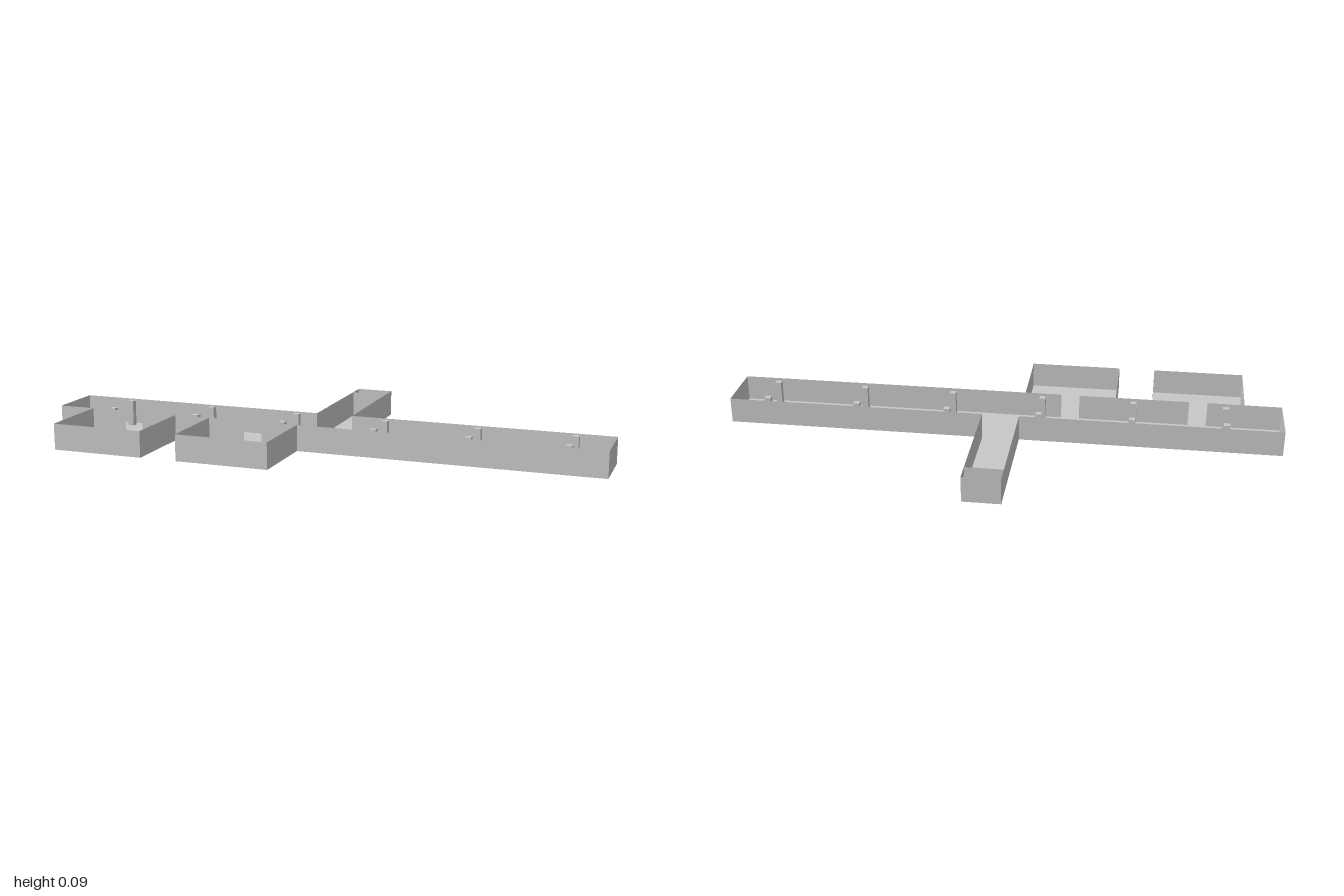
import * as THREE from 'three';

// Everything sits on a square plan grid; U is the size of one cell.
const U = 1 / 15;
const HEIGHT = 0.093;

export function createModel() {
  const model = new THREE.Group();
  model.name = 'floorPlan';
  const grey = new THREE.MeshStandardMaterial({ color: 0xc8c8c8, side: THREE.DoubleSide });
  grey.name = 'plaster grey';

  const add = (name, geometry, x, y, z) => {
    const mesh = new THREE.Mesh(geometry, grey);
    mesh.name = name;
    mesh.position.set(x, y, z);
    model.add(mesh);
    return mesh;
  };

  // Floor slab between two plan corners, in cells
  const floor = (name, x0, z0, x1, z1) => {
    const geometry = new THREE.PlaneGeometry((x1 - x0) * U, (z1 - z0) * U).rotateX(-Math.PI / 2);
    add(name, geometry, (x0 + x1) / 2 * U, 0, (z0 + z1) / 2 * U);
  };

  // Run of thin upright walls through plan points, in cells
  const walls = (name, points) => {
    for (let i = 0; i + 1 < points.length; i++) {
      const [x0, z0] = points[i], [x1, z1] = points[i + 1];
      const geometry = new THREE.PlaneGeometry(Math.hypot(x1 - x0, z1 - z0) * U, HEIGHT);
      const mesh = add(name, geometry, (x0 + x1) / 2 * U, HEIGHT / 2, (z0 + z1) / 2 * U);
      mesh.rotation.y = -Math.atan2(z1 - z0, x1 - x0);
    }
  };

  // Long hall, with a gap at the back for the corridor and doorways to the rooms
  floor('hallFloor', -15, 0, 15, 3);
  walls('hallWall', [[-1, 0], [-15, 0], [-15, 3], [-11, 3]]);
  walls('hallWall', [[-10, 3], [-4, 3]]);
  walls('hallWall', [[-3, 3], [15, 3], [15, 0], [1, 0]]);

  // Two side rooms at the front
  for (const x of [-13, -6]) {
    floor('roomFloor', x, 3, x + 5, 7);
    walls('roomWall', [[x, 3], [x, 7], [x + 5, 7], [x + 5, 3]]);
  }

  // Corridor at the back, closed off by a partition and a floorless end bay
  floor('corridorFloor', -1, -6, 1, 0);
  walls('corridorWall', [[-1, 0], [-1, -7], [1, -7], [1, 0]]);
  walls('corridorPartition', [[-1, -6], [1, -6]]);

  // Two rows of square columns along the hall
  const columnGeometry = new THREE.BoxGeometry(0.022, HEIGHT, 0.022);
  for (let x = -12; x <= 13; x += 5) {
    for (const z of [0.5, 2.5]) add('column', columnGeometry, x * U, HEIGHT / 2, z * U);
  }
  return model;
}
